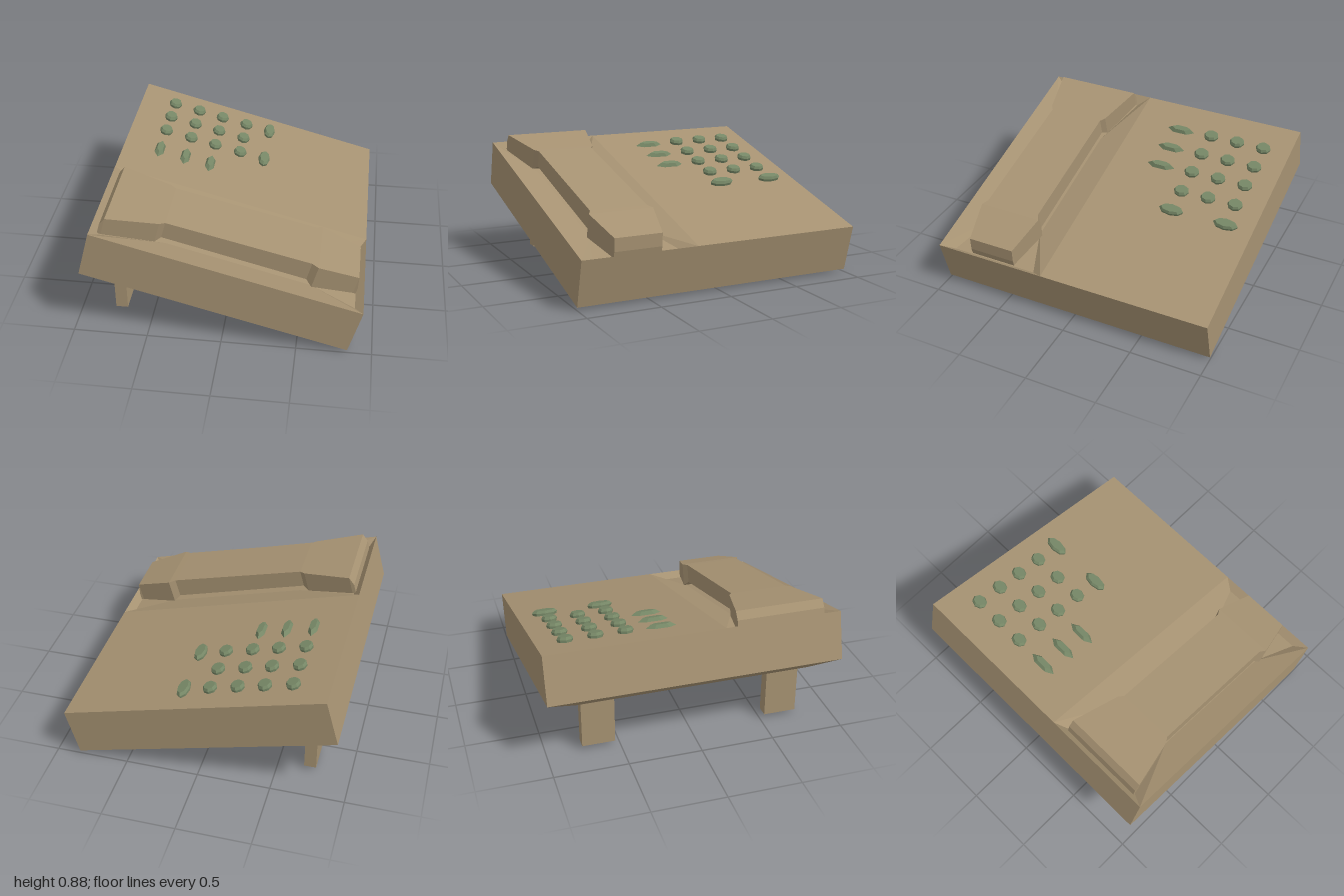
import * as THREE from 'three';

const V = (x, y, z) => new THREE.Vector3(x, y, z);

// Flat-shaded mesh from planar polygons (corners counter-clockwise from outside)
function polyMesh(name, faces, material) {
  const pts = [];
  for (const f of faces)
    for (let i = 1; i < f.length - 1; i++) pts.push(f[0], f[i], f[i + 1]);
  const g = new THREE.BufferGeometry().setFromPoints(pts);
  g.computeVertexNormals();
  const mesh = new THREE.Mesh(g, material);
  mesh.name = name;
  return mesh;
}

// Quads joining two matching rings
const band = (a, b) => a.map((p, i) => {
  const j = (i + 1) % a.length;
  return [p, a[j], b[j], b[i]];
});

// Horizontal rectangle, counter-clockwise seen from above
const rect = (x0, x1, z0, z1, y) => [V(x0, y, z1), V(x1, y, z1), V(x1, y, z0), V(x0, y, z0)];

export function createModel() {
  const plastic = new THREE.MeshStandardMaterial({ color: 0xa69272 });
  plastic.name = 'tan plastic';
  const green = new THREE.MeshStandardMaterial({ color: 0x768766 });
  green.name = 'sage green';

  const model = new THREE.Group();
  model.name = 'deskTelephone';

  // Everything but the legs is tilted sideways
  const tilted = new THREE.Group();
  tilted.name = 'tiltedBody';
  tilted.position.set(-0.045, 0.26, 0);
  tilted.rotation.z = -Math.PI / 12;
  model.add(tilted);

  // Base: bevelled underside, straight walls, top with a sunken cradle
  const U = 0.914, H = 0.333, F = 0.283;
  const under = rect(-0.785, 0.755, -0.8, 0.8, -0.063);
  const lower = rect(-U, U, -1, 1, 0);
  const upper = rect(-U, U, -1, 1, H);
  const [c0, c1, c2, c3] = rect(-U, U, 0.2, 1, H);
  const [e0, e1, e2, e3] = rect(-0.85, 0.87, 0.285, 0.905, F);
  const [f0, f1, f2, f3] = rect(-0.43, 0.56, 0.4, 0.8, F);
  tilted.add(polyMesh('base', [
    [...under].reverse(),
    ...band(under, lower),
    ...band(lower, upper),
    rect(-U, U, -1, 0.2, H),
    ...band([c0, c0, c1, c1, c2, c2, c3, c3], [e0, f0, f1, e1, e2, f2, f3, e3]),
    [e0, f0, f3, e3], [f0, f1, f2, f3], [f1, e1, e2, f2],
  ], plastic));

  // Handset: cross-sections [x, half width, top, bottom]
  const sections = [
    [-0.867, 0.305, 0.358, 0.29],
    [-0.842, 0.305, 0.416, 0.29],
    [-0.5, 0.225, 0.438, 0.29],
    [-0.465, 0.2, 0.44, 0.32],
    [0.52, 0.2, 0.455, 0.32],
    [0.565, 0.225, 0.455, 0.29],
    [0.849, 0.165, 0.424, 0.29],
    [0.867, 0.165, 0.336, 0.29],
  ].map(([x, w, t, b]) => [V(x, t, 0.6 - w), V(x, t, 0.6 + w), V(x, b, 0.6 + w), V(x, b, 0.6 - w)]);
  const handset = [[...sections[0]].reverse(), sections.at(-1)];
  for (let i = 0; i < sections.length - 1; i++) handset.push(...band(sections[i], sections[i + 1]));
  tilted.add(polyMesh('handset', handset, plastic));

  // Keys: eight-sided pads with a bevelled rim
  const profile = [[0.88, -0.01], [1, 0.018], [0.8, 0.036], [0, 0.036]].map(p => new THREE.Vector2(...p));
  const padGeometry = new THREE.LatheGeometry(profile, 8).toNonIndexed();
  padGeometry.computeVertexNormals();
  const addKey = (name, geometry, x, z, rx, rz) => {
    const key = new THREE.Mesh(geometry, green);
    key.name = name;
    key.position.set(x, H, z);
    key.scale.set(rx, 1, rz);
    tilted.add(key);
  };
  const columns = [-0.66, -0.469, -0.283, -0.091];
  for (const z of [-0.805, -0.605, -0.405])
    for (const x of columns) addKey('key', padGeometry, x, z, 0.049, 0.055);
  for (const z of [-0.805, -0.405]) addKey('longKey', padGeometry, 0.095, z, 0.043, 0.09);

  // Pointed function keys
  const pointGeometry = new THREE.CylinderGeometry(0.65, 1, 0.025, 6).toNonIndexed();
  pointGeometry.translate(0, 0.0125, 0);
  pointGeometry.computeVertexNormals();
  for (const x of columns.slice(0, 3)) addKey('functionKey', pointGeometry, x, -0.165, 0.038, 0.105);

  // Legs under the raised side, with green soles
  for (const s of [1, -1]) {
    const leg = new THREE.Mesh(
      new THREE.BoxGeometry(0.082, 0.39, 0.225),
      [plastic, plastic, plastic, green, plastic, plastic]);
    leg.name = s > 0 ? 'frontLeg' : 'backLeg';
    leg.position.set(-0.722, 0.225, s * 0.645);
    model.add(leg);
  }
  return model;
}
